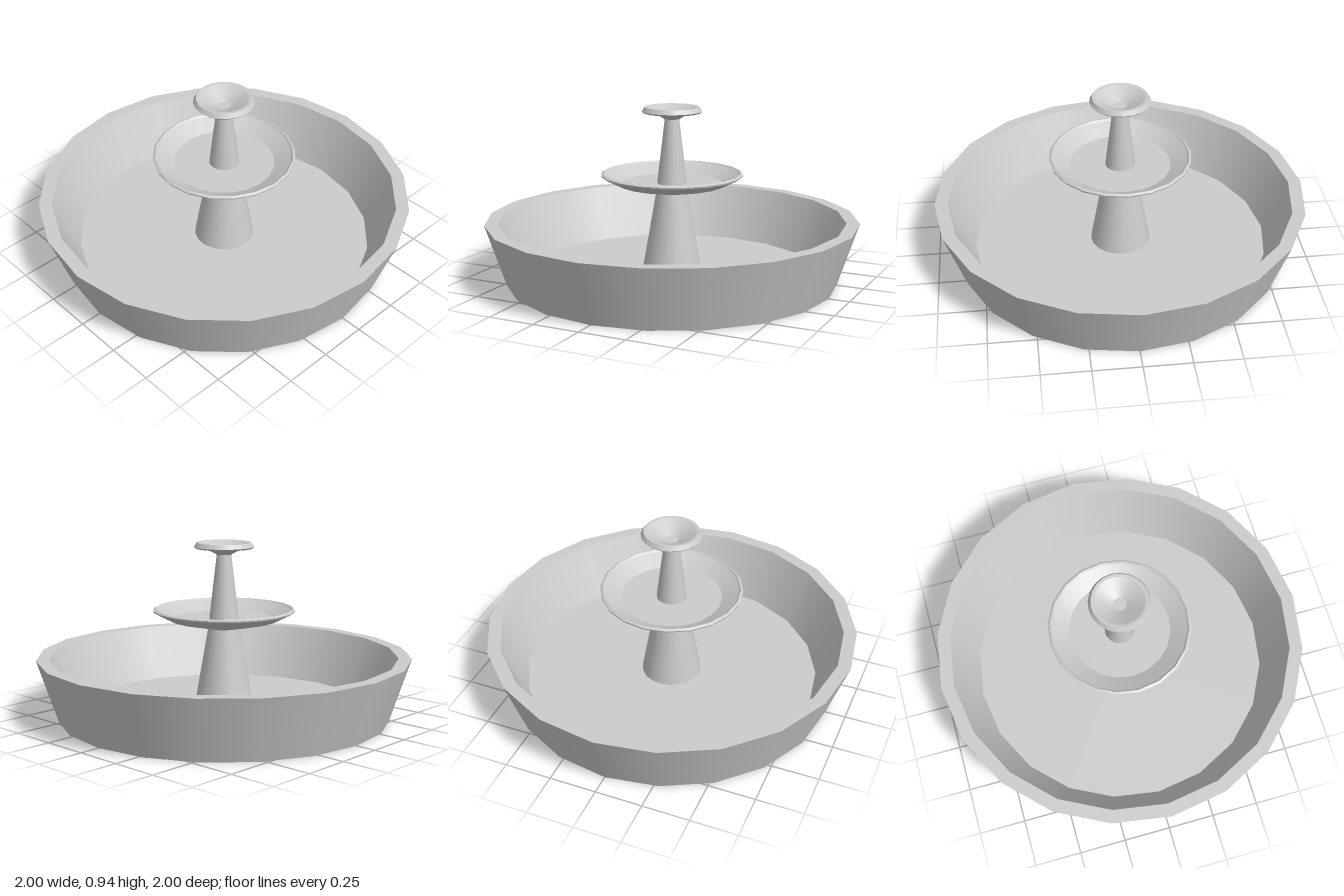
import * as THREE from 'three';
import { mergeGeometries } from 'three/addons/utils/BufferGeometryUtils.js';

const SIDES = 20;
const material = new THREE.MeshStandardMaterial({ color: 0xcccccc });

// Turned part: smooth around the axis, with a sharp edge at each profile point.
// Profiles run from the underside outward, up and back in over the top.
function turned(name, profile) {
  const bands = [];
  for (let i = 0; i < profile.length - 1; i++) {
    const pair = [profile[i], profile[i + 1]].map(([r, y]) => new THREE.Vector2(r, y));
    bands.push(new THREE.LatheGeometry(pair, SIDES));
  }
  const mesh = new THREE.Mesh(mergeGeometries(bands), material);
  mesh.name = name;
  return mesh;
}

export function createModel() {
  const fountain = new THREE.Group();
  fountain.name = 'fountain';

  // Wide basin with sloping walls and a flat rim
  fountain.add(turned('basin', [
    [0, 0], [0.89, 0], [1, 0.333], [0.93, 0.333], [0.8, 0.04], [0, 0.04],
  ]));

  // Tapered columns
  fountain.add(turned('lowerColumn', [[0.162, 0.04], [0.084, 0.485]]));
  fountain.add(turned('upperColumn', [[0.08, 0.527], [0.038, 0.88]]));

  // Shallow middle bowl with a bevelled lip
  fountain.add(turned('middleBowl', [
    [0, 0.478], [0.085, 0.478], [0.285, 0.522], [0.378, 0.569], [0.38, 0.577],
    [0.368, 0.584], [0.358, 0.575], [0.27, 0.527], [0, 0.527],
  ]));

  // Small top bowl with an overhanging lip
  fountain.add(turned('topBowl', [
    [0, 0.872], [0.04, 0.872], [0.1, 0.905], [0.152, 0.905], [0.16, 0.913],
    [0.146, 0.936], [0.13, 0.934], [0.035, 0.885], [0, 0.885],
  ]));

  return fountain;
}
